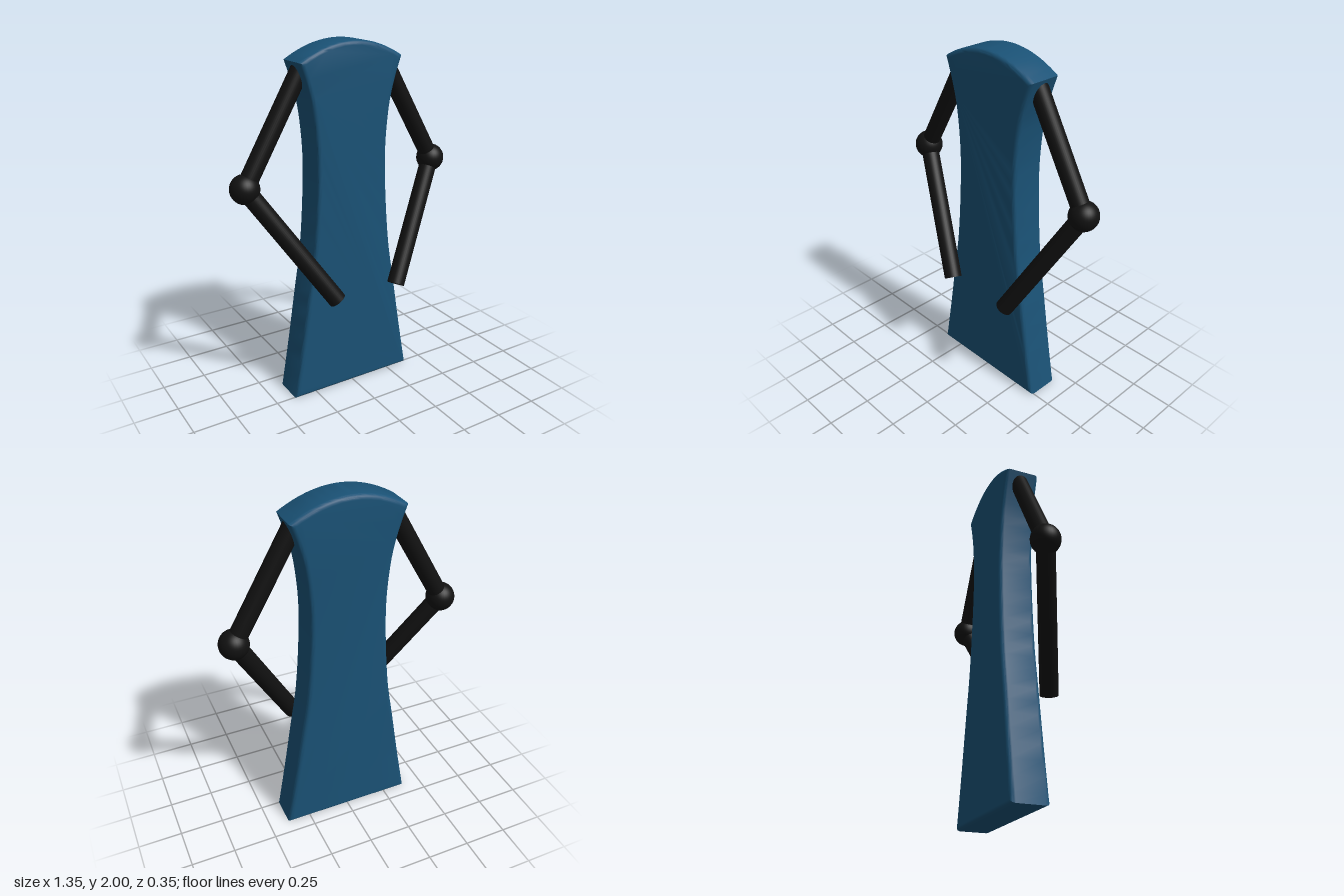
import * as THREE from 'three';
import { toCreasedNormals } from 'three/addons/utils/BufferGeometryUtils.js';

const blue = new THREE.MeshStandardMaterial({ color: 0x1a5276 });
const black = new THREE.MeshStandardMaterial({ color: 0x111111 });
const midZ = -0.08;

function addMesh(parent, name, geometry, material) {
  const mesh = new THREE.Mesh(geometry, material);
  mesh.name = name;
  parent.add(mesh);
  return mesh;
}

// Waisted slab with an arched top and softly rounded front and back edges
function bodyGeometry() {
  const side = new THREE.SplineCurve([
    [0.387, 0], [0.335, 0.3], [0.287, 0.6], [0.247, 0.85], [0.222, 1.15],
    [0.215, 1.4], [0.234, 1.63], [0.268, 1.78], [0.31, 1.905],
  ].map(([x, y]) => new THREE.Vector2(x, y))).getPoints(32);
  const arch = new THREE.QuadraticBezierCurve(
    new THREE.Vector2(0.31, 1.905), new THREE.Vector2(0, 2.095), new THREE.Vector2(-0.31, 1.905),
  ).getPoints(24).slice(1, -1);
  const mirrored = side.map((p) => new THREE.Vector2(-p.x, p.y)).reverse();
  const bevel = 0.025;
  const geometry = new THREE.ExtrudeGeometry(new THREE.Shape([...side, ...arch, ...mirrored]), {
    depth: 0.2 - 2 * bevel, bevelThickness: bevel, bevelSize: bevel, bevelOffset: -bevel, bevelSegments: 5,
  });
  geometry.translate(0, 0, midZ - 0.1 + bevel);
  return toCreasedNormals(geometry, 0.6);
}

// Straight round limb between two points
function addLimb(parent, name, from, to) {
  const axis = to.clone().sub(from);
  const limb = addMesh(parent, name, new THREE.CylinderGeometry(0.05, 0.05, axis.length(), 32), black);
  limb.position.copy(from).add(to).multiplyScalar(0.5);
  limb.quaternion.setFromUnitVectors(new THREE.Vector3(0, 1, 0), axis.normalize());
}

// Arm: upper arm, ball elbow and forearm reaching forward
function addArm(parent, name, side, hand) {
  const arm = new THREE.Group();
  arm.name = name;
  parent.add(arm);
  const shoulder = new THREE.Vector3(side * 0.26, 1.86, midZ);
  const elbow = new THREE.Vector3(side * 0.595, 1.28, midZ);
  addLimb(arm, 'upperArm', shoulder, elbow);
  addMesh(arm, 'elbow', new THREE.SphereGeometry(0.08, 32, 24), black).position.copy(elbow);
  addLimb(arm, 'forearm', elbow, hand);
}

export function createModel() {
  const model = new THREE.Group();
  model.name = 'figure';
  addMesh(model, 'body', bodyGeometry(), blue);
  // The two forearms end at slightly different places
  addArm(model, 'leftArm', 1, new THREE.Vector3(0.235, 0.615, 0.105));
  addArm(model, 'rightArm', -1, new THREE.Vector3(-0.17, 0.625, 0.125));
  return model;
}
